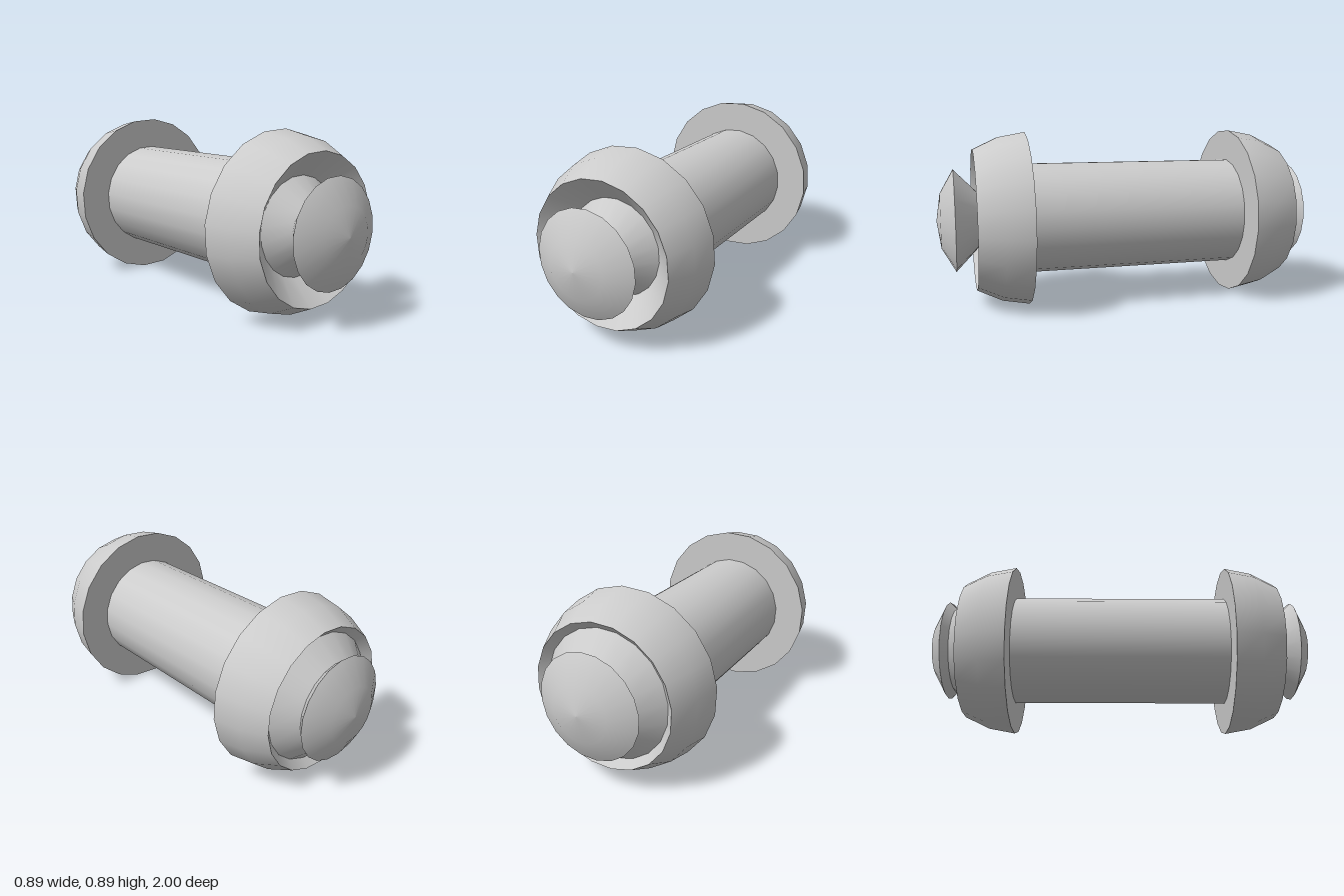
import * as THREE from 'three';

const SIDES = 20;
const PHASE = -5.5 * Math.PI / 180;
const AXIS_HEIGHT = 0.447;

export function createModel() {
  const model = new THREE.Group();
  model.name = 'capsuleBar';
  const material = new THREE.MeshStandardMaterial({ color: 0xcccccc });

  // One smooth surface of revolution around z; profile is [radius, z], listed back to front
  function turned(parent, name, profile) {
    const points = profile.map(([r, z]) => new THREE.Vector2(r, z));
    const geometry = new THREE.LatheGeometry(points, SIDES, PHASE);
    geometry.rotateX(Math.PI / 2);
    const mesh = new THREE.Mesh(geometry, material);
    mesh.name = name;
    parent.add(mesh);
  }

  // One end: s is +1 at the front, -1 at the back; separate surfaces keep the edges sharp
  function addEnd(name, s, valley, grooveFloor) {
    const end = new THREE.Group();
    end.name = name;
    const surfaces = {
      collarFlange: [[0.27, 0.555], [0.445, 0.555]],
      collarShell: [[0.445, 0.555], [0.42, 0.69], [0.36, 0.815]],
      collarRecess: [[0.36, 0.815], grooveFloor],
      neck: [grooveFloor, valley],
      buttonUnderside: [valley, [0.26, 0.912]],
      buttonDome: [[0.26, 0.912], [0.14, 0.98], [0, 1]],
    };
    for (const [part, profile] of Object.entries(surfaces)) {
      const placed = profile.map(([r, z]) => [r, s * z]);
      turned(end, part, s > 0 ? placed : placed.reverse());
    }
    model.add(end);
  }

  // Central shaft
  turned(model, 'shaft', [[0.283, -0.56], [0.283, 0.56]]);

  // Deep groove at the front, shallow groove at the back
  addEnd('frontEnd', 1, [0.14, 0.795], [0.24, 0.695]);
  addEnd('backEnd', -1, [0.225, 0.876], [0.322, 0.777]);

  model.children.forEach((part) => { part.position.y = AXIS_HEIGHT; });
  return model;
}
